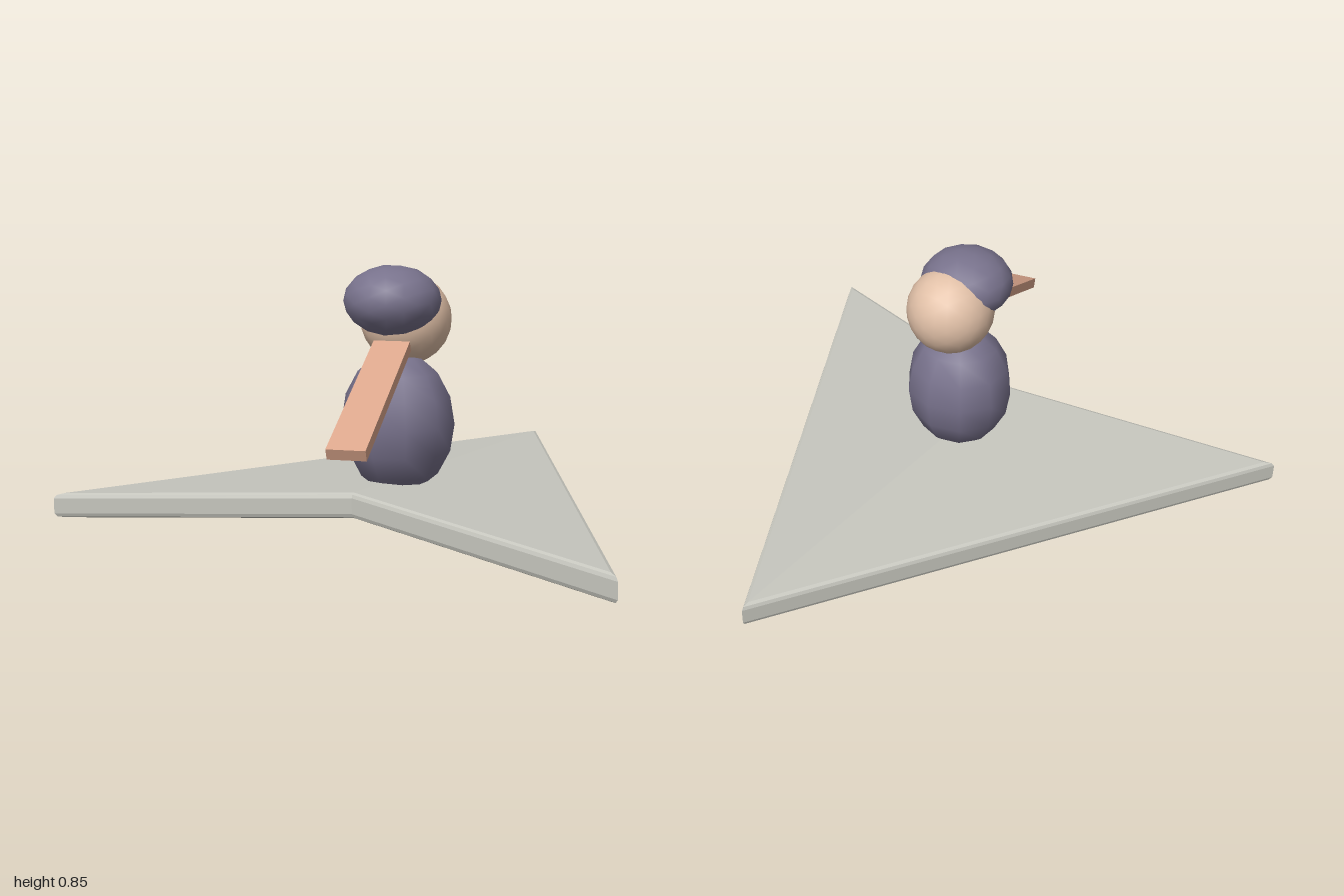
import * as THREE from 'three';

const paint = (name, color) => {
  const m = new THREE.MeshStandardMaterial({ color });
  m.name = name;
  return m;
};

// Swept arrowhead board: bevelled rings around a dart outline, raised along the centre
function boardGeometry() {
  const rings = [[0.015, 0], [0.004, 0.005], [0, 0.016], [0, 0.068], [0.004, 0.079], [0.015, 0.084]];
  // nose, left tip, rear notch, right tip, moved inwards by d
  const outline = d => [
    [0, -0.93 + 2 * d], [1 - 2.07 * d, 0.8 - 1.6 * d],
    [0, 0.535 - 1.035 * d], [-1 + 2.07 * d, 0.8 - 1.6 * d],
  ];
  const lift = (x, z) => Math.max(0, 0.058 * (z + 0.93 - 1.73 * Math.abs(x)) / 1.465);
  const pos = [], index = [];
  for (const [d, y] of rings) {
    for (const [x, z] of outline(d)) pos.push(x, y + lift(x, z), z);
  }
  for (let r = 0; r < rings.length - 1; r++) {
    for (let i = 0; i < 4; i++) {
      const a = r * 4 + i, b = r * 4 + (i + 1) % 4;
      index.push(a, a + 4, b, b, a + 4, b + 4);
    }
  }
  const t = (rings.length - 1) * 4;
  index.push(0, 1, 2, 0, 2, 3, t, t + 2, t + 1, t, t + 3, t + 2);
  const g = new THREE.BufferGeometry();
  g.setAttribute('position', new THREE.Float32BufferAttribute(pos, 3));
  g.setIndex(index);
  const flat = g.toNonIndexed();
  flat.computeVertexNormals();
  return flat;
}

export function createModel() {
  const group = new THREE.Group();
  const grey = paint('pale grey', 0xc6c6be);
  const violet = paint('dusky violet', 0x78728c);
  const skin = paint('skin', 0xe2c1a8);
  const tan = paint('tan', 0xdba68c);

  const add = (name, geometry, material, x = 0, y = 0, z = 0) => {
    const mesh = new THREE.Mesh(geometry, material);
    mesh.name = name;
    mesh.position.set(x, y, z);
    group.add(mesh);
    return mesh;
  };

  add('board', boardGeometry(), grey);

  // Egg-shaped body, coarse but smooth shaded
  const body = new THREE.SphereGeometry(1, 10, 8);
  body.rotateY(Math.PI / 2);
  body.scale(0.193, 0.24, 0.186);
  add('body', body, violet, 0, 0.32, 0.23);

  add('head', new THREE.IcosahedronGeometry(0.153, 3), skin, 0, 0.662, 0.17);

  // Flattened cap of hair overlapping the head
  const hair = new THREE.IcosahedronGeometry(1, 2);
  hair.scale(0.162, 0.117, 0.16);
  add('hair', hair, violet, 0, 0.732, 0.262);

  // Flat bar reaching forwards and down
  const start = new THREE.Vector3(0.05, 0.597, 0.355);
  const end = new THREE.Vector3(0.2, 0.358, 0.9);
  const mid = start.clone().lerp(end, 0.5);
  const arm = add('arm', new THREE.BoxGeometry(0.12, 0.036, start.distanceTo(end)), tan, mid.x, mid.y, mid.z);
  arm.lookAt(end);

  return group;
}
